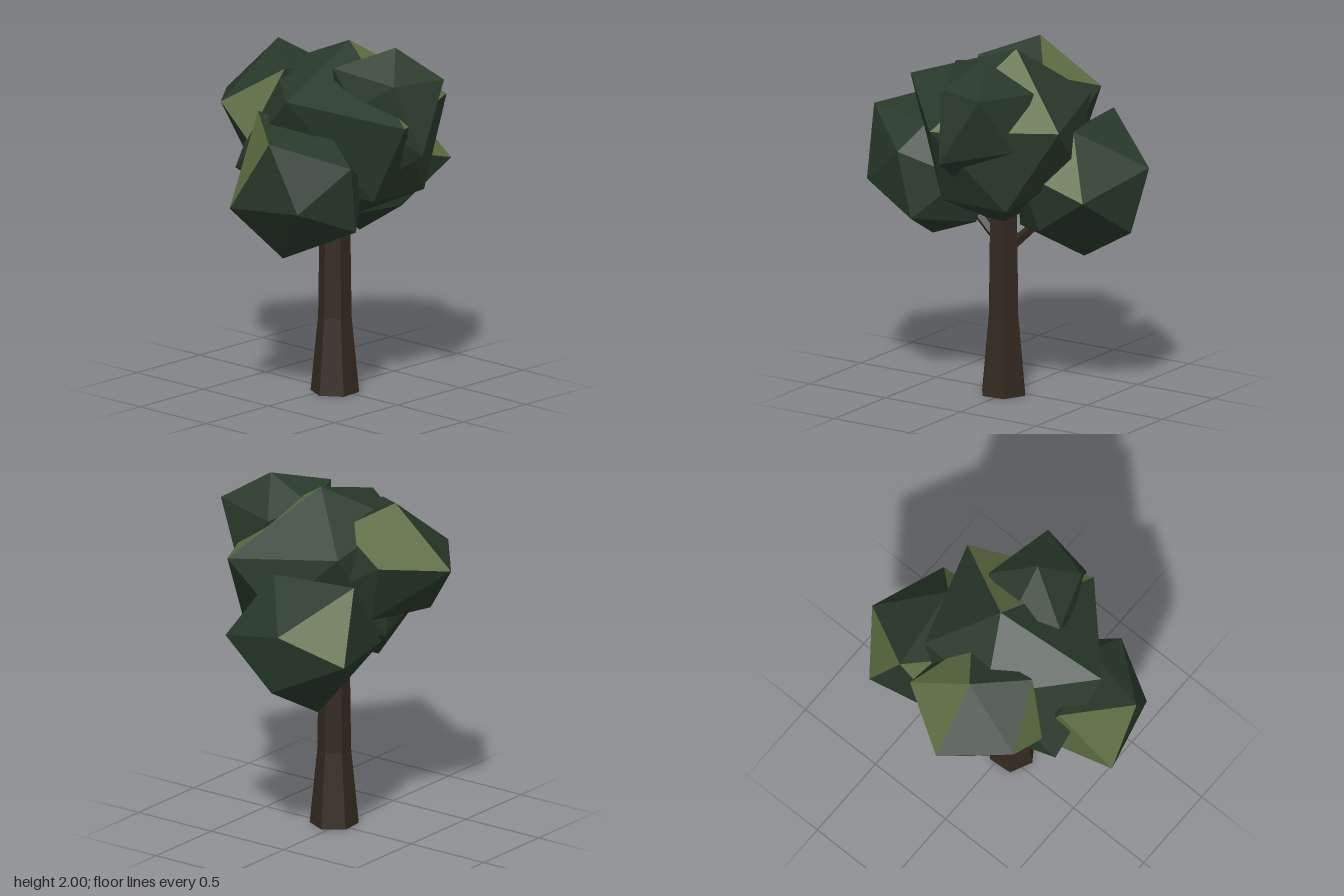
import * as THREE from 'three';

const bark = new THREE.MeshStandardMaterial({ color: 0x33291f });
bark.name = 'bark brown';
const leaf = new THREE.MeshStandardMaterial({ color: 0x28392a });
leaf.name = 'dark leaf green';
const sunLeaf = new THREE.MeshStandardMaterial({ color: 0x5d6d42 });
sunLeaf.name = 'light leaf green';

// Faceted copy of a geometry: every face gets its own normal
function faceted(geometry) {
  const g = geometry.toNonIndexed();
  g.computeVertexNormals();
  return g;
}

// Twenty-faced clump: outer pole, ring of five, staggered ring of five, inner pole.
// Faces are numbered cap 0-4, band 5-14, inner cap 15-19; "pale" lists the light ones.
function clump(name, pole, ring, innerRing, innerPole, pale) {
  const pts = [pole, ...ring, ...innerRing, innerPole].map((p) => new THREE.Vector3(...p));
  const centre = pts.reduce((s, p) => s.add(p), new THREE.Vector3()).divideScalar(12);
  const faces = [];
  for (let i = 0; i < 5; i++) {
    const j = (i + 1) % 5;
    faces[i] = [0, 1 + i, 1 + j];
    faces[5 + i] = [1 + i, 6 + i, 1 + j];
    faces[10 + i] = [6 + i, 6 + j, 1 + j];
    faces[15 + i] = [6 + i, 6 + j, 11];
  }
  const dark = faces.filter((f, i) => !pale.includes(i));
  const light = faces.filter((f, i) => pale.includes(i));
  const corners = [];
  for (const f of [...dark, ...light]) {
    const [a, b, c] = f.map((k) => pts[k]);
    const n = b.clone().sub(a).cross(c.clone().sub(a));
    const outward = a.clone().add(b).add(c).divideScalar(3).sub(centre);
    corners.push(...(n.dot(outward) > 0 ? [a, b, c] : [a, c, b]));
  }
  const g = new THREE.BufferGeometry().setFromPoints(corners);
  g.computeVertexNormals();
  g.addGroup(0, dark.length * 3, 0);
  g.addGroup(dark.length * 3, light.length * 3, 1);
  const mesh = new THREE.Mesh(g, [leaf, sunLeaf]);
  mesh.name = name;
  return mesh;
}

// Tapered five-sided branch between two points
function branch(name, from, to) {
  const a = new THREE.Vector3(...from), b = new THREE.Vector3(...to);
  const dir = b.clone().sub(a);
  const mesh = new THREE.Mesh(faceted(new THREE.CylinderGeometry(0.025, 0.032, dir.length(), 5)), bark);
  mesh.position.copy(a).add(b).multiplyScalar(0.5);
  mesh.quaternion.setFromUnitVectors(new THREE.Vector3(0, 1, 0), dir.normalize());
  mesh.name = name;
  return mesh;
}

export function createModel() {
  const tree = new THREE.Group();
  tree.name = 'tree';

  // Six-sided trunk, flared at the foot
  const profile = [[0, 0], [0.135, 0], [0.093, 0.43], [0.084, 1.1], [0, 1.1]]
    .map(([r, y]) => new THREE.Vector2(r, y));
  const trunk = new THREE.Mesh(faceted(new THREE.LatheGeometry(profile, 6, Math.PI / 2 + 0.08)), bark);
  trunk.position.set(-0.022, 0, 0.047);
  trunk.name = 'trunk';

  // Trunk and the branches reaching into the crown
  tree.add(
    trunk,
    branch('leftBranch', [0.03, 0.85, 0.03], [0.26, 1.07, 0]),
    branch('rightBranch', [-0.06, 0.88, 0.05], [-0.24, 1.08, 0.08]),
  );

  // Crown
  tree.add(
    clump('middleFoliage', [0.075, 1.985, 0.065],
      [[0.55, 1.64, 0.35], [0.35, 1.7, -0.26], [-0.13, 1.82, -0.31], [-0.55, 1.775, 0.18], [-0.1, 1.62, 0.655]],
      [[0.49, 1.36, 0.08], [0.06, 1.2, -0.37], [-0.545, 1.33, -0.21], [-0.15, 1.18, 0.46], [0.265, 1.17, 0.45]],
      [-0.04, 0.95, 0.01], [4]),
    clump('leftFoliage', [0.79, 1.36, -0.18],
      [[0.47, 1.58, 0.09], [0.4, 1.59, -0.41], [0.57, 1.18, -0.47], [0.73, 1, -0.09], [0.66, 1.24, 0.28]],
      [[0.12, 1.38, -0.02], [0.1, 1.18, -0.37], [0.38, 0.8, -0.15], [0.33, 1.02, 0.22], [0.22, 1.36, 0.27]],
      [0.09, 0.98, 0.05], [1, 9, 10]),
    clump('rightFoliage', [-0.79, 1.18, -0.02],
      [[-0.75, 1.585, 0.24], [-0.48, 1.66, -0.1], [-0.3, 1.08, -0.12], [-0.47, 0.85, 0.08], [-0.69, 1.2, 0.4]],
      [[-0.34, 1.56, 0.33], [-0.1, 1.35, 0], [-0.1, 1, 0.2], [-0.33, 1.05, 0.5], [-0.4, 1.43, 0.53]],
      [-0.1, 1.28, 0.33], [0, 1]),
    clump('backFoliage', [-0.1, 1.605, -0.7],
      [[-0.05, 1.945, -0.355], [0.27, 1.675, -0.48], [0.2, 1.34, -0.38], [-0.19, 1.325, -0.49], [-0.43, 1.64, -0.43]],
      [[0.13, 1.8, -0.12], [0.28, 1.5, -0.18], [0, 1.25, -0.25], [-0.45, 1.46, -0.2], [-0.28, 1.86, -0.09]],
      [-0.05, 1.55, 0], [0, 5, 13]),
    clump('frontFoliage', [0.09, 2, 0.4],
      [[-0.22, 1.91, 0.22], [-0.09, 1.84, 0.56], [0.22, 1.84, 0.645], [0.315, 1.81, 0.25], [0.05, 1.85, 0.15]],
      [[-0.19, 1.7, 0.36], [-0.01, 1.46, 0.7], [0.32, 1.52, 0.45], [0.2, 1.5, 0.15], [-0.12, 1.55, 0.15]],
      [-0.02, 1.34, 0.52], []),
  );
  return tree;
}
